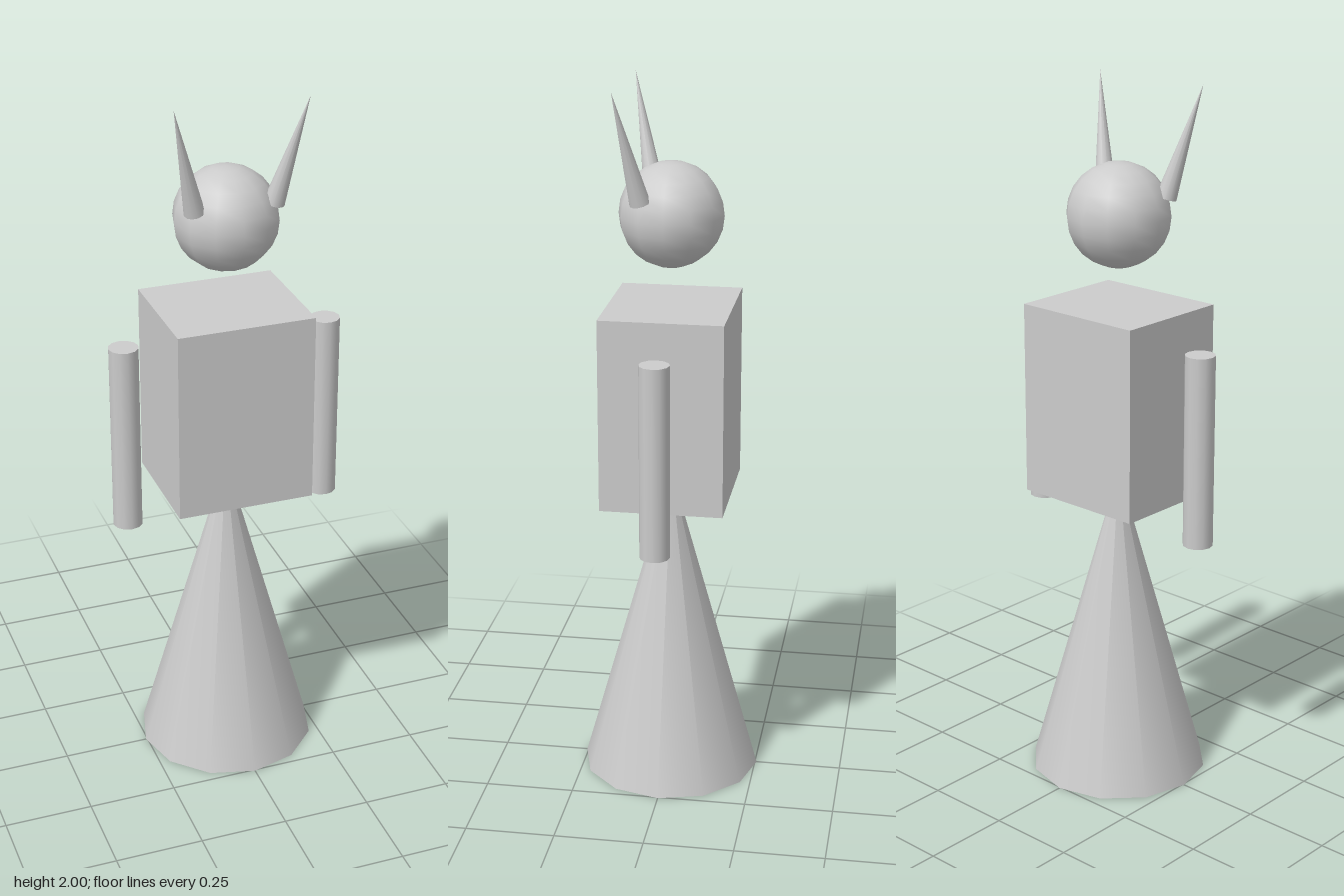
import * as THREE from 'three';

const material = new THREE.MeshStandardMaterial({ color: 0xcccccc });

function add(group, name, geometry, x, y, z) {
  const mesh = new THREE.Mesh(geometry, material);
  mesh.name = name;
  mesh.position.set(x, y, z);
  group.add(mesh);
  return mesh;
}

export function createModel() {
  const model = new THREE.Group();
  model.name = 'hornedFigure';

  // Conical skirt, its tip hidden inside the torso
  add(model, 'skirt', new THREE.ConeGeometry(0.255, 0.91, 12), 0, 0.455, 0);

  // Box torso and floating head
  add(model, 'torso', new THREE.BoxGeometry(0.39, 0.545, 0.343), 0, 1.122, 0);
  add(model, 'head', new THREE.SphereGeometry(0.145, 12, 12), 0, 1.645, 0);

  // Arms and horns, mirrored left and right
  const up = new THREE.Vector3(0, 1, 0);
  for (const [side, s] of [['left', 1], ['right', -1]]) {
    add(model, side + 'Arm', new THREE.CylinderGeometry(0.042, 0.042, 0.545, 12), s * 0.293, 1.037, 0);

    const base = new THREE.Vector3(s * 0.111, 1.697, 0.067);
    const tip = new THREE.Vector3(s * 0.184, 2, 0.128);
    const axis = tip.clone().sub(base);
    const mid = base.clone().add(tip).multiplyScalar(0.5);
    const horn = add(model, side + 'Horn', new THREE.ConeGeometry(0.029, axis.length(), 12), mid.x, mid.y, mid.z);
    horn.quaternion.setFromUnitVectors(up, axis.normalize());
  }
  return model;
}
